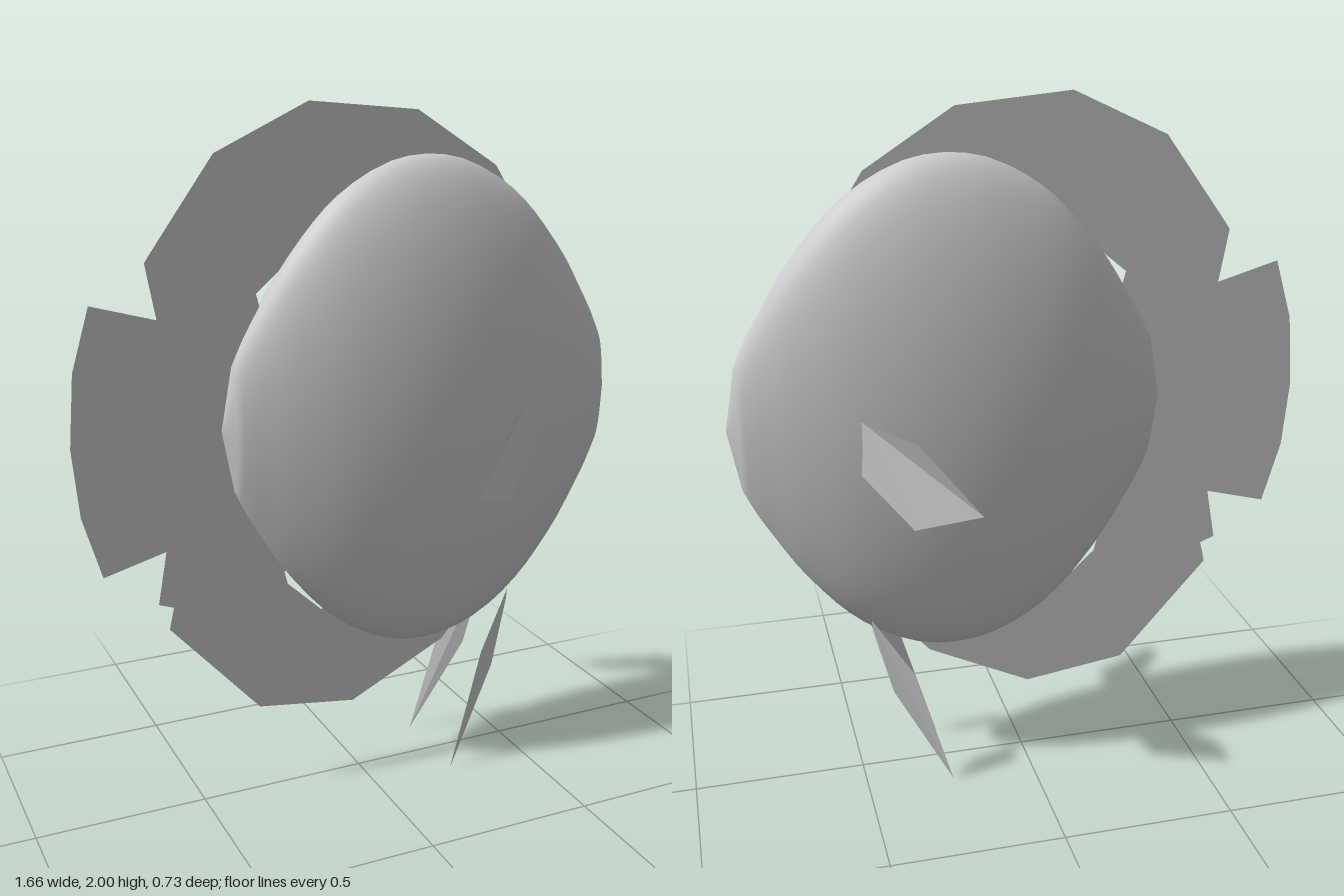
import * as THREE from 'three';

export function createModel() {
  const model = new THREE.Group();
  const grey = new THREE.MeshStandardMaterial({ name: 'fishGrey', color: 0xcccccc, side: THREE.DoubleSide });

  const add = (name, geometry) => {
    const mesh = new THREE.Mesh(geometry, grey);
    mesh.name = name;
    model.add(mesh);
  };

  // Body: a pointed oval of revolution along x, squashed sideways
  const half = [[0, 1], [0.18, 0.978], [0.36, 0.905], [0.5, 0.813], [0.615, 0.706],
    [0.73, 0.578], [0.82, 0.452], [0.89, 0.35], [0.948, 0.245]];
  const curve = new THREE.SplineCurve([
    ...half.slice(1).reverse().map(([t, r]) => new THREE.Vector2(r, -t)),
    ...half.map(([t, r]) => new THREE.Vector2(r, t)),
  ]);
  const profile = [new THREE.Vector2(0, -1), ...curve.getPoints(32), new THREE.Vector2(0, 1)];
  const body = new THREE.LatheGeometry(profile, 64);
  body.rotateZ(-Math.PI / 2);
  body.scale(0.622, 0.728, 0.178);
  body.translate(0.208, 1.122, 0);
  add('body', body);

  // Dorsal, tail and anal fins: one flat sheet on the centre plane
  const toPoints = list => list.map(([x, y]) => new THREE.Vector2(x, y));
  const sheet = new THREE.Shape(toPoints([
    [0.5, 1.7], [0.43, 1.81], [0.18, 1.97], [-0.145, 2], [-0.415, 1.873], [-0.6, 1.618],
    [-0.612, 1.6], [-0.585, 1.448], [-0.765, 1.5], [-0.817, 1.326], [-0.834, 1.122],
    [-0.817, 0.928], [-0.765, 0.748], [-0.585, 0.796], [-0.613, 0.642], [-0.57, 0.626],
    [-0.585, 0.562], [-0.32, 0.265], [-0.02, 0.223], [0.283, 0.371], [0.36, 0.46],
  ]));
  // Narrow gaps between the fins and the body
  sheet.holes.push(
    new THREE.Path(toPoints([[-0.305, 1.497], [-0.2, 1.585], [-0.13, 1.45], [-0.296, 1.462]])),
    new THREE.Path(toPoints([[-0.236, 0.68], [-0.226, 0.64], [-0.12, 0.54], [-0.05, 0.7]])),
  );
  add('medianFins', new THREE.ShapeGeometry(sheet));

  // Paired fins: a creased fan of flat triangles from the first corner
  const sideFin = (name, corners, side) => {
    const points = corners.map(([x, y, z]) => new THREE.Vector3(x, y, z * side));
    const fan = [];
    for (let i = 1; i < points.length - 1; i++) {
      const edge = [points[i], points[i + 1]];
      fan.push(points[0], ...(side > 0 ? edge : edge.reverse()));
    }
    const geometry = new THREE.BufferGeometry().setFromPoints(fan);
    geometry.computeVertexNormals();
    add(name, geometry);
  };
  const pectoral = [[0.482, 1.172, 0.15], [0.35, 1.14, 0.286], [0.195, 0.953, 0.366],
    [0.362, 0.886, 0.26], [0.49, 1.02, 0.145]];
  const pelvic = [[0.465, 0.535, 0.08], [0.352, 0.366, 0.128], [0.246, 0, 0.14],
    [0.41, 0.297, 0.092], [0.463, 0.5, 0.078]];
  for (const [label, side] of [['Front', 1], ['Back', -1]]) {
    sideFin('pectoralFin' + label, pectoral, side);
    sideFin('pelvicFin' + label, pelvic, side);
  }

  return model;
}
